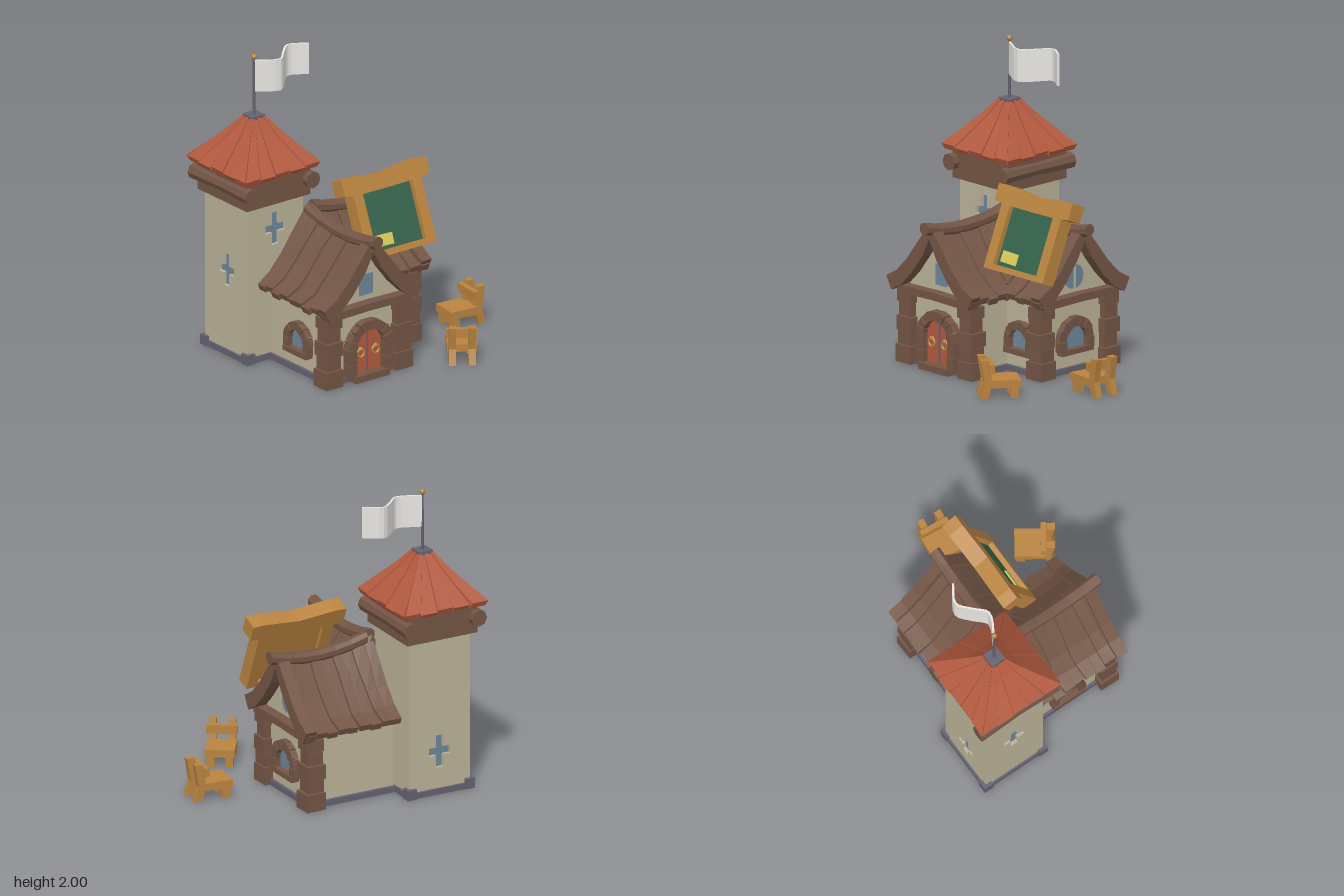
import * as THREE from 'three';

const mat = (name, color) => { const m = new THREE.MeshStandardMaterial({ color }); m.name = name; return m; };
const M = {
  timber: mat('brown timber', 0x735545), wall: mat('plaster', 0xbab297), red: mat('red tiles', 0xb35a3f),
  stone: mat('slate stone', 0x656172), oak: mat('golden oak', 0xb9833f), glass: mat('blue glass', 0x6c8798),
  green: mat('chalkboard green', 0x36634c), note: mat('yellow paper', 0xd8c95a), flag: mat('white cloth', 0xe6e4e0),
};
const V = (x, y, z) => new THREE.Vector3(x, y, z);
let seed = 7;
const rnd = (a) => { seed = (seed * 16807) % 2147483647; return (seed / 2147483647 - 0.5) * 2 * a; };

// Faceted mesh added to a parent
function add(parent, name, geo, material, x = 0, y = 0, z = 0) {
  const g = geo.index ? geo.toNonIndexed() : geo;
  g.computeVertexNormals();
  const m = new THREE.Mesh(g, material);
  m.name = name; m.position.set(x, y, z);
  parent.add(m);
  return m;
}
const box = (p, name, m, w, h, d, x, y, z) => add(p, name, new THREE.BoxGeometry(w, h, d), m, x, y, z);
function group(parent, name, x = 0, y = 0, z = 0, ry = 0) {
  const g = new THREE.Group();
  g.name = name; g.position.set(x, y, z); g.rotation.y = ry;
  parent.add(g);
  return g;
}
// Closed solid through a list of cross-sections, turned outward by its signed volume
function loft(rings) {
  const tris = [], n = rings[0].length, last = rings[rings.length - 1];
  for (let i = 0; i < rings.length - 1; i++) for (let j = 0; j < n; j++) {
    const k = (j + 1) % n, a = rings[i], b = rings[i + 1];
    tris.push([a[j], a[k], b[k]], [a[j], b[k], b[j]]);
  }
  for (let j = 1; j < n - 1; j++) tris.push([rings[0][0], rings[0][j + 1], rings[0][j]], [last[0], last[j], last[j + 1]]);
  const c = rings[0][0];
  let vol = 0;
  for (const [p, q, r] of tris) vol += p.clone().sub(c).dot(q.clone().sub(c).cross(r.clone().sub(c)));
  return new THREE.BufferGeometry().setFromPoints(tris.flatMap(([p, q, r]) => (vol < 0 ? [p, r, q] : [p, q, r])));
}
const poly = (pts) => new THREE.Shape(pts.map(([x, y]) => new THREE.Vector2(x, y)));
const extrude = (shape, depth) => new THREE.ExtrudeGeometry(shape, { depth, bevelEnabled: false, curveSegments: 8 });

// Concave roof slope: distance from ridge, height
const SLOPE = [[0, 0.93], [0.1, 0.805], [0.2, 0.675], [0.29, 0.585], [0.385, 0.53]];

// Stack of uneven blocks
function pillar(p, x, z) {
  const g = group(p, 'cornerPillar', x, 0, z);
  [[0.135, 0.12], [0.112, 0.09], [0.13, 0.1], [0.105, 0.09], [0.122, 0.08]].reduce((y, [w, h]) => {
    box(g, 'pillarBlock', M.timber, w, h - 0.004, w, rnd(0.004), y + h / 2, rnd(0.004)).rotation.y = rnd(0.04);
    return y + h;
  }, 0);
}

// Gabled wing with its ridge on local z and its gable at z = end
function wing(p, name, x, z, ry, start, end, slats) {
  const g = group(p, name, x, 0, z, ry);
  const front = end + 0.09, len = front - start;
  const sag = (zz) => { const t = (front - zz) / len; return -0.16 * t + 0.2 * t * t; };
  const half = [[0.275, 0], [0.275, 0.53], [0.2, 0.61], [0.1, 0.73]];
  const outline = [...half, [0, 0.86], ...half.map(([a, b]) => [-a, b]).reverse()];
  add(g, 'plasterWalls', extrude(poly(outline), end - start), M.wall, 0, 0, start);
  box(g, 'plinth', M.stone, 0.59, 0.04, end - start + 0.02, 0, 0.02, (start + end) / 2 + 0.01);
  for (const s of [-1, 1]) {
    // Warped roof planks
    const step = len / slats;
    let edge = SLOPE.map(() => start);
    for (let i = 0; i < slats; i++) {
      const next = SLOPE.map(() => start + step * (i + 1) + (i < slats - 1 ? rnd(0.012) : 0));
      const lift = (i % 2) * 0.012 + rnd(0.004), out = rnd(0.012);
      add(g, 'roofPlank', loft(SLOPE.map(([d, y], k) => {
        const dd = k === 4 ? d + out : d, f = 1 - d / 0.385;
        const a = edge[k] + 0.002, b = next[k] - 0.002;
        const ya = y + lift + sag(a) * f, yb = y + lift + sag(b) * f, i2 = s * Math.max(0, dd - 0.015);
        return [V(s * dd, ya, a), V(s * dd, yb, b), V(i2, yb - 0.04, b), V(i2, ya - 0.04, a)];
      })), M.timber);
      edge = next;
    }
    // Curved gable board
    add(g, 'gableBoard', loft(SLOPE.map(([d, y]) => [
      V(s * (d + 0.01), y + 0.035, end + 0.02), V(s * (d + 0.01), y + 0.035, end + 0.1),
      V(s * Math.max(0, d - 0.035), y - 0.05, end + 0.1), V(s * Math.max(0, d - 0.035), y - 0.05, end + 0.02)])), M.timber);
    pillar(g, s * 0.28, end - 0.005);
  }
  // Sagging ridge log
  const rings = [];
  for (let i = 0; i <= 6; i++) {
    const zz = start + 0.05 + (end + 0.145 - start - 0.05) * i / 6;
    rings.push([...Array(8).keys()].map((k) => {
      const a = (k + 0.5) * Math.PI / 4;
      return V(0.042 * Math.cos(a), 0.942 + sag(zz) + 0.042 * Math.sin(a), zz);
    }));
  }
  add(g, 'ridgeLog', loft(rings), M.timber);
  add(g, 'tieBeam', loft([-0.33, 0, 0.33].map((bx) => {
    const y = bx ? 0.49 : 0.497;
    return [V(bx, y - 0.025, end - 0.02), V(bx, y + 0.025, end - 0.02), V(bx, y + 0.025, end + 0.07), V(bx, y - 0.025, end + 0.07)];
  })), M.timber);
  return g;
}

// Ring of wedge stones with straight jambs, facing +z
function stoneArch(g, ri, ro, cy, bottom, depth, n) {
  for (let i = 0; i < n; i++) {
    const a = Math.PI * i / n + 0.015, b = Math.PI * (i + 1) / n - 0.015, r = ro + rnd(0.006);
    const pt = (q, t) => [q * Math.cos(t), cy + q * Math.sin(t)];
    add(g, 'archStone', extrude(poly([pt(ri, a), pt(r, a), pt(r, b), pt(ri, b)]), depth + rnd(0.005)), M.timber);
  }
  const rows = Math.max(1, Math.round((cy - bottom) / 0.1)), h = (cy - bottom) / rows;
  for (const s of [-1, 1]) for (let i = 0; i < rows; i++)
    box(g, 'jambStone', M.timber, ro - ri, h - 0.004, depth + rnd(0.005), s * (ro + ri) / 2, bottom + h * (i + 0.5), depth / 2);
}
function archPane(r, cy, bottom) {
  const s = new THREE.Shape();
  s.moveTo(-r, bottom); s.lineTo(r, bottom); s.lineTo(r, cy);
  s.absarc(0, cy, r, 0, Math.PI, false);
  return extrude(s, 0.008);
}
function archWindow(p, x, z, ry, k) {
  const g = group(p, 'archedWindow', x, 0, z, ry);
  stoneArch(g, 0.08 * k, 0.135 * k, 0.22, 0.15, 0.045, 7);
  add(g, 'windowPane', archPane(0.085 * k, 0.22, 0.14), M.glass);
  box(g, 'windowSill', M.timber, 0.25 * k, 0.035, 0.055, 0, 0.148, 0.027);
}

function chair(p, x, z, ry) {
  const g = group(p, 'chair', x, 0, z, ry);
  box(g, 'seat', M.oak, 0.19, 0.05, 0.2, 0, 0.095, 0);
  box(g, 'backRail', M.oak, 0.2, 0.06, 0.035, 0, 0.195, -0.085);
  for (const s of [-1, 1]) {
    box(g, 'frontLeg', M.oak, 0.05, 0.075, 0.055, s * 0.06, 0.0375, 0.06);
    add(g, 'backPost', loft([[0, -0.135], [0.1, -0.105], [0.25, -0.13]].map(([y, c]) =>
      [V(s * 0.04, y, c - 0.028), V(s * 0.085, y, c - 0.028), V(s * 0.085, y, c + 0.025), V(s * 0.04, y, c + 0.025)])), M.oak);
  }
}

function tower(p) {
  const g = group(p, 'tower', -0.555, 0, -0.41);
  box(g, 'towerCore', M.wall, 0.38, 1.1, 0.38, 0, 0.55, 0);
  box(g, 'towerPlinth', M.stone, 0.47, 0.04, 0.47, 0, 0.02, 0);
  // Walls with cross openings; zero means a plain wall
  [0.88, 0, 0.29, 0.58].forEach((cy, i) => {
    const side = group(g, 'towerSide', 0, 0, 0, i * Math.PI / 2);
    const shape = poly([[-0.222, 0], [0.222, 0], [0.222, 1.1], [-0.222, 1.1]]);
    if (cy) {
      const a = 0.027, w = 0.078, h = 0.11;
      shape.holes.push(poly([[a, h], [a, a], [w, a], [w, -a], [a, -a], [a, -h], [-a, -h], [-a, -a], [-w, -a], [-w, a], [-a, a], [-a, h]]
        .map(([x, y]) => [x, y + cy])));
      box(side, 'crossPane', M.glass, 0.17, 0.23, 0.008, 0, cy, 0.194);
    }
    add(side, 'towerWall', extrude(shape, 0.03), M.wall, 0, 0, 0.192);
    box(side, 'cornerStone', M.stone, 0.066, 0.068, 0.066, 0.212, 0.034, 0.212);
  });
  box(g, 'towerCrown', M.timber, 0.51, 0.2, 0.51, 0, 1.16, 0);
  for (const s of [-1, 1]) {
    const pts = [[0, -0.3], [0.056, -0.3], [0.046, 0], [0.056, 0.3], [0, 0.3]].map(([a, b]) => new THREE.Vector2(a, b));
    add(g, 'crownLog', new THREE.LatheGeometry(pts, 8), M.timber, s * 0.245, 1.17, 0).rotation.x = Math.PI / 2;
  }
  // Flared pyramid roof of planks
  const prof = [[0.3, 1.275], [0.2, 1.385], [0.12, 1.475], [0.05, 1.57]];
  add(g, 'roofCore', loft(prof.map(([h, y]) => [[1, 1], [-1, 1], [-1, -1], [1, -1]].map(([a, b]) => V(a * (h - 0.01), y - 0.012, b * (h - 0.01))))), M.red);
  for (let i = 0; i < 4; i++) {
    const side = group(g, 'roofSide', 0, 0, 0, i * Math.PI / 2);
    for (let k = 0; k < 5; k++) {
      const f0 = -1 + 0.4 * k + 0.01, f1 = f0 + 0.38, lift = (k % 2 ? 0 : 0.01) + rnd(0.002), out = rnd(0.006);
      add(side, 'roofPlank', loft(prof.map(([h, y], j) => {
        const r = h + (j ? 0 : out) + 0.004, q = r - 0.015;
        return [V(f0 * r, y + lift, r), V(f1 * r, y + lift, r), V(f1 * q, y - 0.025, q), V(f0 * q, y - 0.025, q)];
      })), M.red);
    }
  }
  box(g, 'roofCap', M.stone, 0.1, 0.025, 0.1, 0, 1.578, 0);
  add(g, 'flagPole', new THREE.CylinderGeometry(0.008, 0.01, 0.4, 8), M.stone, 0, 1.78, 0);
  add(g, 'poleBall', new THREE.SphereGeometry(0.019, 10, 8), M.oak, 0, 1.981, 0);
  // Waving flag
  const path = new THREE.CatmullRomCurve3([V(0, 0, 0), V(0.155, 0, 0.07), V(0.235, 0, 0), V(0.325, 0, -0.07), V(0.445, 0, -0.005)]);
  const rings = [];
  for (let i = 0; i <= 16; i++) {
    const c = path.getPoint(i / 16), t = path.getTangent(i / 16), nx = -t.z * 0.007, nz = t.x * 0.007;
    const y0 = 1.745 - 0.008 * Math.sin(i / 3), y1 = 1.957 - 0.006 * Math.sin(i / 3);
    rings.push([V(c.x + nx, y0, c.z + nz), V(c.x + nx, y1, c.z + nz), V(c.x - nx, y1, c.z - nz), V(c.x - nx, y0, c.z - nz)]);
  }
  add(g, 'flag', loft(rings), M.flag);
}

function board(p) {
  const g = group(p, 'chalkboard', 0.148, 0.66, 0.18);
  g.rotation.x = -0.39;
  for (const s of [-1, 1]) box(g, 'boardPost', M.oak, 0.075, 0.46, 0.1, s * 0.235, 0.23, 0);
  box(g, 'boardRail', M.oak, 0.41, 0.038, 0.1, 0, 0.019, 0);
  box(g, 'boardBack', M.oak, 0.41, 0.42, 0.03, 0, 0.24, -0.008);
  box(g, 'boardFace', M.green, 0.4, 0.42, 0.008, 0, 0.24, 0.011);
  box(g, 'paperNote', M.note, 0.14, 0.075, 0.008, -0.1, 0.1, 0.02).rotation.z = -0.03;
  // Sagging top beam
  add(g, 'topBeam', loft([[-0.34, 0.487, 0.055], [-0.26, 0.483, 0.062], [0, 0.468, 0.05], [0.26, 0.483, 0.062], [0.34, 0.487, 0.055]]
    .map(([x, y, h]) => [V(x, y - h, -0.055), V(x, y + h, -0.055), V(x, y + h, 0.055), V(x, y - h, 0.055)])), M.oak);
}

export function createModel() {
  const root = new THREE.Group();
  root.name = 'cottageWithTower';
  wing(root, 'frontWing', -0.315, 0, 0, -0.2, 0.42, 9);
  const side = wing(root, 'sideWing', 0, -0.175, Math.PI / 2, -0.32, 0.285, 9);
  tower(root);
  board(root);
  chair(root, 0.38, 0.53, Math.atan2(0.57, -0.82));
  chair(root, 0.706, 0.068, Math.atan2(-0.995, -0.09));
  // Arched windows on three walls
  archWindow(root, 0.1, 0.1, 0, 0.95);
  archWindow(root, 0.285, -0.165, Math.PI / 2, 1.1);
  archWindow(root, -0.59, 0.12, -Math.PI / 2, 0.95);
  // Gable windows
  box(root, 'gableWindow', M.glass, 0.105, 0.14, 0.008, -0.302, 0.628, 0.422);
  add(side, 'roundWindow', new THREE.CylinderGeometry(0.08, 0.08, 0.008, 16), M.glass, 0, 0.625, 0.287).rotation.x = Math.PI / 2;
  box(side, 'windowMullion', M.wall, 0.018, 0.165, 0.014, 0, 0.625, 0.288);
  // Double door
  const door = group(root, 'door', -0.305, 0, 0.42);
  stoneArch(door, 0.11, 0.175, 0.225, 0.02, 0.06, 9);
  add(door, 'doorLeaves', archPane(0.112, 0.225, 0.03), M.red, 0, 0, 0.01);
  box(door, 'doorSeam', M.stone, 0.012, 0.3, 0.008, 0, 0.185, 0.018);
  box(door, 'doorStep', M.timber, 0.27, 0.045, 0.08, 0, 0.0225, 0.04);
  for (const s of [-1, 1]) {
    add(door, 'knockerRing', new THREE.TorusGeometry(0.027, 0.008, 6, 14), M.oak, s * 0.06, 0.18, 0.03);
    add(door, 'knockerBoss', new THREE.SphereGeometry(0.016, 8, 6), M.oak, s * 0.06, 0.205, 0.028);
  }
  return root;
}
